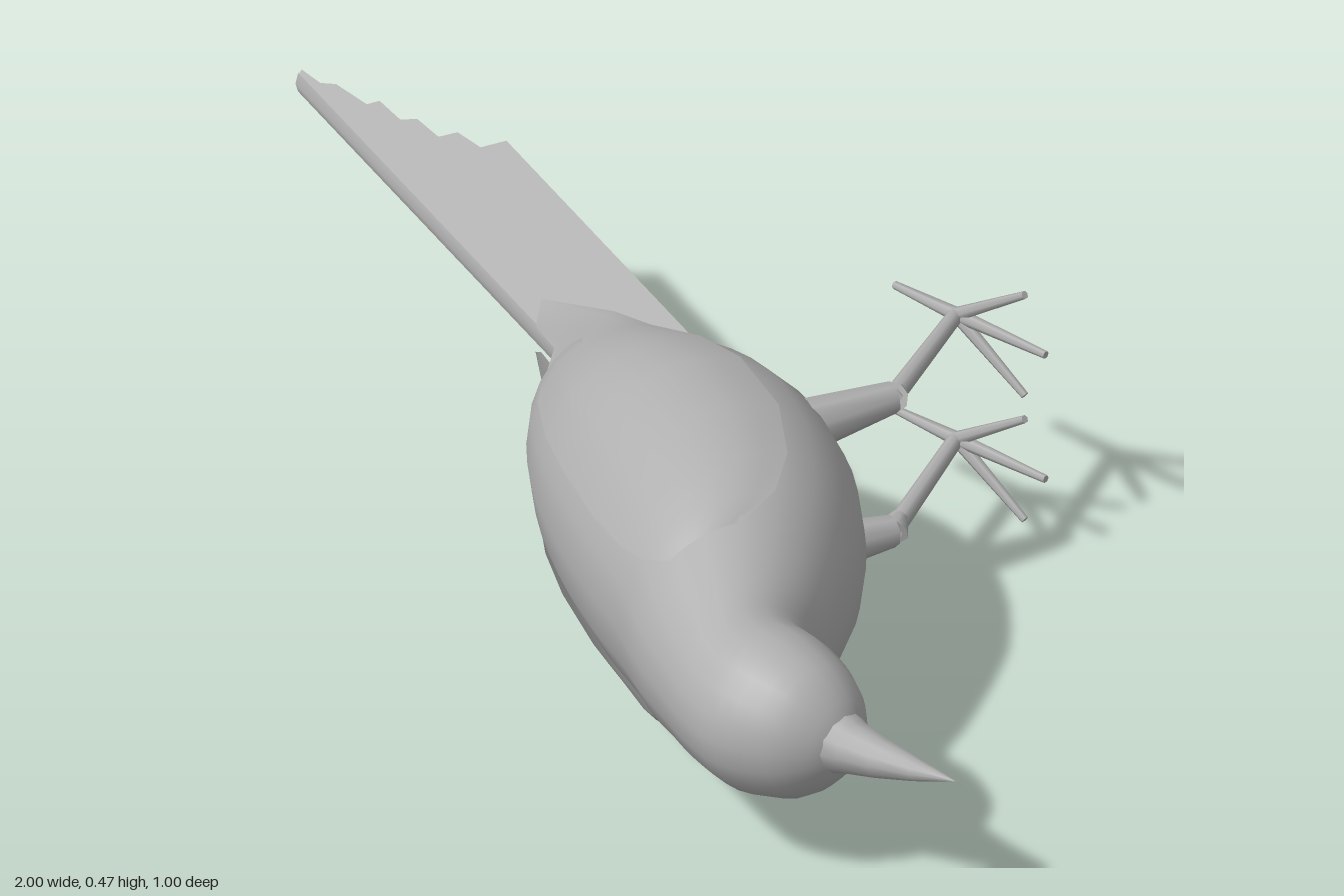
import * as THREE from 'three';

const V = (x, y, z) => new THREE.Vector3(x, y, z);
const grey = new THREE.MeshStandardMaterial({ color: 0xb0b0b0, side: THREE.DoubleSide });
grey.name = 'plain grey';

function addMesh(parent, name, geometry) {
  const mesh = new THREE.Mesh(geometry, grey);
  mesh.name = name;
  parent.add(mesh);
  return mesh;
}

// Skin over rows of points; closed rows wrap round
function loft(rows, closed) {
  const n = rows[0].length, index = [];
  for (let i = 0; i < rows.length - 1; i++) {
    for (let j = 0; j < (closed ? n : n - 1); j++) {
      const k = (j + 1) % n, a = i * n + j, b = a + n, c = i * n + k, d = c + n;
      index.push(a, b, c, b, d, c);
    }
  }
  const g = new THREE.BufferGeometry().setFromPoints(rows.flat());
  g.setIndex(index);
  g.computeVertexNormals();
  return g;
}

// Tapered round limb between two points
function limb(parent, name, a, b, r0, r1, sides = 8) {
  const dir = b.clone().sub(a);
  const mesh = addMesh(parent, name, new THREE.CylinderGeometry(r1, r0, dir.length(), sides));
  mesh.position.copy(a).addScaledVector(dir, 0.5);
  mesh.quaternion.setFromUnitVectors(V(0, 1, 0), dir.normalize());
}

// Body sections: back x, back z, belly x, belly z, half width
const sections = [
  [-0.14, -0.09, -0.13, -0.14, 0.03],
  [-0.10, 0.02, -0.05, -0.19, 0.12],
  [0.00, 0.13, 0.13, -0.21, 0.19],
  [0.12, 0.22, 0.28, -0.19, 0.225],
  [0.24, 0.29, 0.41, -0.12, 0.23],
  [0.35, 0.345, 0.52, -0.01, 0.212],
  [0.43, 0.395, 0.59, 0.11, 0.175],
  [0.52, 0.44, 0.625, 0.19, 0.145],
  [0.59, 0.473, 0.645, 0.243, 0.127],
  [0.67, 0.493, 0.70, 0.252, 0.125],
  [0.75, 0.472, 0.765, 0.278, 0.105],
  [0.80, 0.43, 0.805, 0.31, 0.065],
  [0.825, 0.385, 0.825, 0.35, 0.02],
];
const backLine = new THREE.CatmullRomCurve3(sections.map(s => V(s[0], s[4], s[1])), false, 'catmullrom');
const bellyLine = new THREE.CatmullRomCurve3(sections.map(s => V(s[2], 0, s[3])), false, 'catmullrom');

// Point on the body at section u, angle in degrees from the back, pushed out by lift
function bodyPoint(u, degrees, side = 1, lift = 0) {
  const t = u / (sections.length - 1), a = THREE.MathUtils.degToRad(degrees);
  const back = backLine.getPoint(t), belly = bellyLine.getPoint(t);
  const w = back.y + lift;
  back.y = 0;
  const centre = back.clone().add(belly).multiplyScalar(0.5);
  const half = back.sub(centre);
  half.setLength(half.length() + lift);
  return centre.addScaledVector(half, Math.cos(a)).add(V(0, side * w * Math.sin(a), 0));
}

function addBody(bird) {
  const rows = [];
  for (let i = 0; i <= 36; i++) {
    rows.push(Array.from({ length: 20 }, (_, j) => bodyPoint(i / 3, j * 18)));
  }
  addMesh(bird, 'body and head', loft(rows, true));

  // Beak: x, z, radius, gently hooked toward the belly side
  const beak = [[0.79, 0.37, 0.055], [0.83, 0.369, 0.04], [0.88, 0.365, 0.03], [0.94, 0.355, 0.017], [1, 0.342, 0.001]];
  addMesh(bird, 'beak', loft(beak.map(([x, z, r]) => Array.from({ length: 12 }, (_, j) => {
    const a = j * Math.PI / 6;
    return V(x, r * Math.sin(a), z + r * Math.cos(a));
  })), true));
}

// Folded wing: a shell over the flank running out to a flat tip
function addWing(bird, side) {
  const straight = (a, b) => Array.from({ length: 9 }, (_, j) => a.clone().lerp(b, j / 8));
  const rows = [
    straight(V(-0.25, side * 0.02, -0.165), V(-0.27, side * 0.045, -0.2)),
    straight(V(-0.13, side * 0.08, -0.07), V(-0.1, side * 0.11, -0.165)),
  ];
  // Section, upper angle, lower angle
  const spans = [[1.6, 32, 108], [2.3, 28, 110], [3, 27, 112], [4, 27, 114], [4.8, 30, 112], [5.4, 38, 106], [5.8, 50, 90]];
  for (const [u, a0, a1] of spans) {
    rows.push(Array.from({ length: 9 }, (_, j) => bodyPoint(u, a0 + (a1 - a0) * j / 8, side, u > 5.6 ? 0 : 0.007)));
  }
  addMesh(bird, side > 0 ? 'left wing' : 'right wing', loft(rows, false));
}

// Tail: a folded roof of two stepped vanes along a straight ridge
function addTail(bird) {
  const ridge = x => -0.12 + 0.422 * (x + 0.1);
  const middle = x => -0.008 + 0.02 * (x + 0.1);
  const outline = [[-0.08, 0], [0.04, 1], [-0.54, 1], [-0.58, 0.78], [-0.64, 0.72], [-0.67, 0.56], [-0.73, 0.53],
    [-0.76, 0.41], [-0.82, 0.39], [-0.84, 0.28], [-0.92, 0.2], [-0.95, 0.1], [-1, 0.06], [-1, 0]];
  const shape = new THREE.Shape(outline.map(([x, w]) => new THREE.Vector2(x, w)));
  for (const side of [1, -1]) {
    const g = new THREE.ShapeGeometry(shape);
    const p = g.attributes.position;
    for (let i = 0; i < p.count; i++) {
      const x = p.getX(i), w = p.getY(i);
      p.setXYZ(i, x, middle(x) + side * (0.012 + 0.1 * w), ridge(x) - 0.125 * w);
    }
    g.computeVertexNormals();
    addMesh(bird, side > 0 ? 'left tail vane' : 'right tail vane', g);
  }
  // Central feather capping the ridge
  const cap = [-0.08, -0.5, -1].map(x => [-0.016, 0, 0.016].map(y => V(x, middle(x) + y, ridge(x) + (y ? 0 : 0.006))));
  addMesh(bird, 'central tail feather', loft(cap, false));
}

function addLeg(bird, side) {
  const leg = new THREE.Group();
  leg.name = side > 0 ? 'left leg' : 'right leg';
  const y = side * 0.105;
  const knee = V(0.36, y + side * 0.008, -0.25), ankle = V(0.27, y, -0.49);
  limb(leg, 'thigh', V(0.295, y, -0.07), knee, 0.046, 0.024);
  limb(leg, 'knee', knee, V(0.35, y, -0.275), 0.024, 0.014);
  limb(leg, 'shank', knee, ankle, 0.015, 0.012);
  // Three toes forward, one back
  const toes = [[0.44, 0], [0.4, 0.085], [0.4, -0.085], [0.15, 0]];
  for (const [x, dy] of toes) limb(leg, 'toe', ankle, V(x, y + dy, -0.492), 0.011, 0.006, 6);
  bird.add(leg);
}

export function createModel() {
  const model = new THREE.Group();
  model.name = 'bird lying on its side';
  const bird = new THREE.Group();
  bird.name = 'bird';
  bird.position.y = 0.23;
  addBody(bird);
  addTail(bird);
  for (const side of [1, -1]) {
    addWing(bird, side);
    addLeg(bird, side);
  }
  model.add(bird);
  return model;
}
